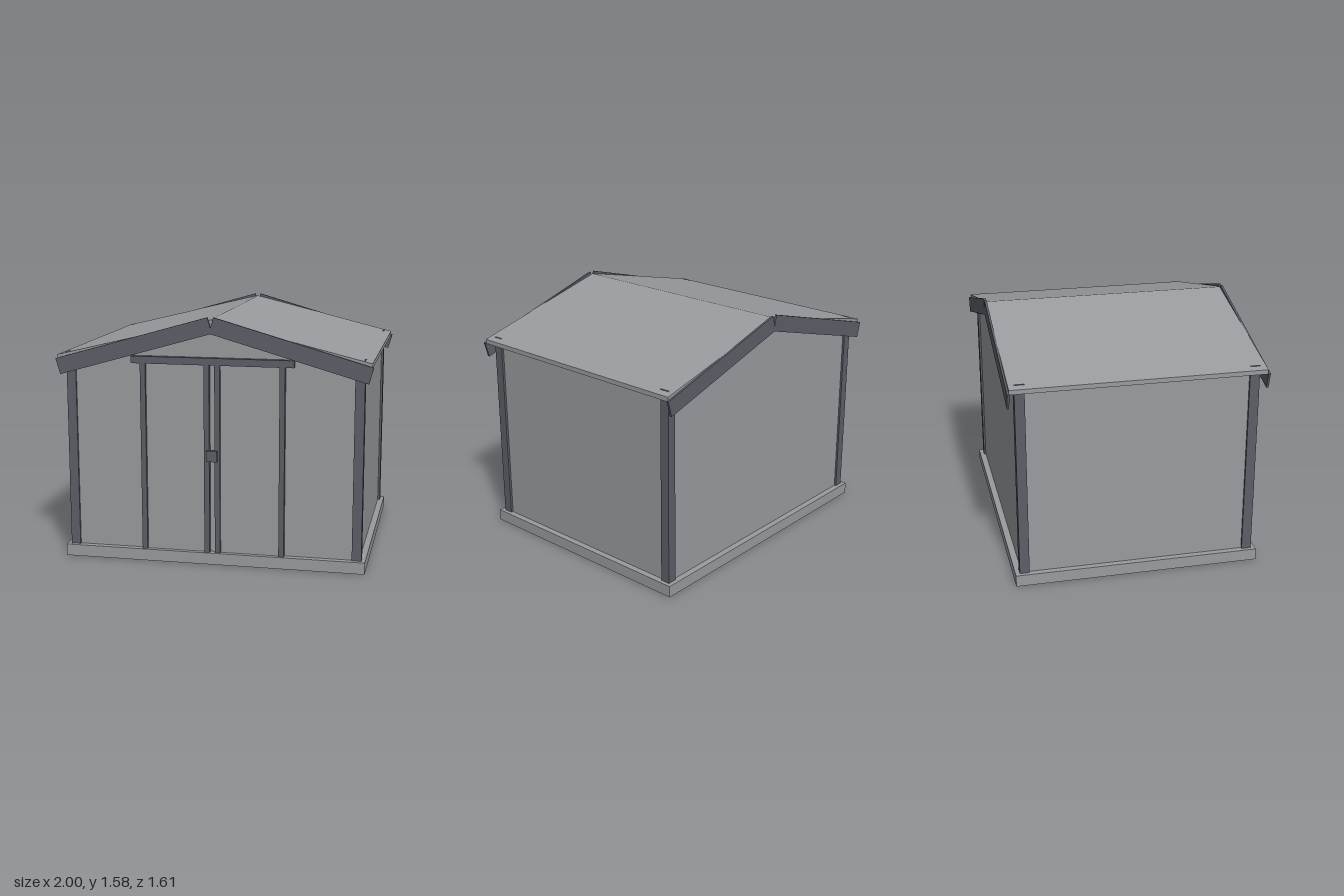
import * as THREE from 'three';

export function createModel() {
  const shed = new THREE.Group();
  shed.name = 'gardenShed';
  const light = new THREE.MeshStandardMaterial({ name: 'lightGrey', color: 0x989c9e });
  const dark = new THREE.MeshStandardMaterial({ name: 'darkGrey', color: 0x5b5f67 });

  const add = (name, geometry, material) => {
    const mesh = new THREE.Mesh(geometry, material);
    mesh.name = name;
    shed.add(mesh);
    return mesh;
  };
  // Box given by its minimum and maximum on each axis
  const box = (name, material, [x0, x1], [y0, y1], [z0, z1]) => {
    const mesh = add(name, new THREE.BoxGeometry(x1 - x0, y1 - y0, z1 - z0), material);
    mesh.position.set((x0 + x1) / 2, (y0 + y1) / 2, (z0 + z1) / 2);
    return mesh;
  };
  // Outline in x and y, extruded along z about the centre
  const prism = (name, material, points, depth) => {
    const shape = new THREE.Shape(points.map(([x, y]) => new THREE.Vector2(x, y)));
    const geometry = new THREE.ExtrudeGeometry(shape, { depth, bevelEnabled: false });
    return add(name, geometry.translate(0, 0, -depth / 2), material);
  };

  // Floor slab, walls and gables
  box('base', light, [-0.97, 0.97], [0, 0.075], [-0.786, 0.786]);
  prism('walls', light, [
    [-0.93, 0.075], [0.93, 0.075], [0.93, 1.315], [0, 1.545], [-0.93, 1.315],
  ], 1.49);

  // Shallow pitched roof
  prism('roof', light, [
    [-0.99, 1.295], [0, 1.535], [0.99, 1.295], [0.99, 1.324], [0, 1.565], [-0.99, 1.324],
  ], 1.59);

  for (const side of [-1, 1]) {
    for (const end of [-1, 1]) {
      // Corner posts, their tips just breaking through the roof
      const post = add('cornerPost', new THREE.BoxGeometry(0.06, 1.263, 0.062), dark);
      post.position.set(side * 0.915, 0.7065, end * 0.727);

      // Sloping fascia boards
      const fascia = add('fasciaBoard', new THREE.BoxGeometry(1.02, 0.104, 0.014), dark);
      fascia.position.set(side * 0.495, 1.39, end * 0.8);
      fascia.rotation.z = -side * 0.278;
    }
  }

  // Sliding doors with upright trims
  for (const side of [-1, 1]) {
    const panel = add('doorPanel', new THREE.BoxGeometry(0.42, 1.205, 0.012), light);
    panel.position.set(side * 0.24, 0.6775, 0.75);
    for (const x of [0.034, 0.442]) {
      const trim = add('doorTrim', new THREE.BoxGeometry(0.034, 1.205, 0.032), dark);
      trim.position.set(side * x, 0.6775, 0.76);
    }
  }
  box('doorHeader', dark, [-0.515, 0.515], [1.28, 1.325], [0.74, 0.78]);
  box('doorLatch', dark, [-0.035, 0.035], [0.672, 0.742], [0.77, 0.792]);

  return shed;
}
